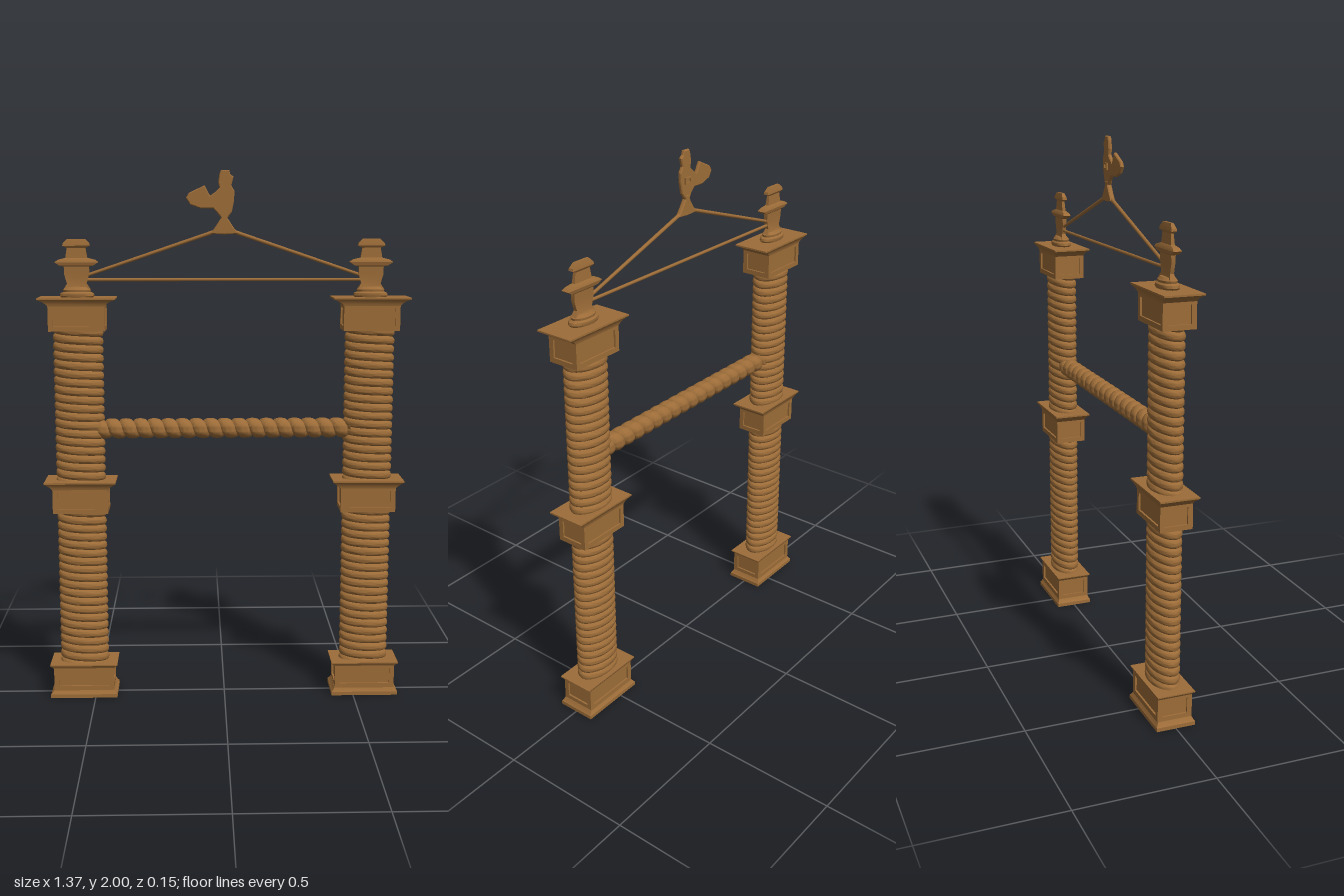
import * as THREE from 'three';
import { toCreasedNormals } from 'three/addons/utils/BufferGeometryUtils.js';

const wood = new THREE.MeshStandardMaterial({ color: 0x9c6c38 });
wood.name = 'warm brown wood';

function mesh(name, geometry, parent, x = 0, y = 0, z = 0) {
  const m = new THREE.Mesh(geometry, wood);
  m.name = name;
  m.position.set(x, y, z);
  parent.add(m);
  return m;
}

// Skin over nu steps around and nv steps along; point(i, k) gives [x, y, z]
function skin(point, nu, nv, crease) {
  const pos = [], idx = [];
  for (let k = 0; k <= nv; k++) for (let i = 0; i <= nu; i++) pos.push(...point(i, k));
  for (let k = 0; k < nv; k++) for (let i = 0; i < nu; i++) {
    const a = k * (nu + 1) + i, b = a + nu + 1;
    idx.push(a, b, b + 1, a, b + 1, a + 1);
  }
  const g = new THREE.BufferGeometry();
  g.setAttribute('position', new THREE.Float32BufferAttribute(pos, 3));
  g.setIndex(idx);
  return toCreasedNormals(g, crease);
}

// Rectangular moulding from rows of [y, half width, half depth], closed at both ends
function moulding(rows) {
  const last = rows[rows.length - 1];
  const all = [[rows[0][0], 0, 0], ...rows, [last[0], 0, 0]];
  const sx = [1, -1, -1, 1, 1], sz = [1, 1, -1, -1, 1];
  return skin((i, k) => [sx[i] * all[k][1], all[k][0], sz[i] * all[k][2]], 4, all.length - 1, 0.3);
}

// Coiled rope along y from 0 to length; hand sets the winding direction
function rope(length, rx, rz, pitch, depth, hand) {
  const nu = 32, per = 8, nv = (Math.ceil(length / pitch) + 1) * per;
  return skin((i, k) => {
    const t = (i / nu) * Math.PI * 2;
    const f = 2 * ((k % per) / per) - 1;
    const inset = depth * (1 - Math.sqrt(1 - f * f));
    const turn = hand > 0 ? i / nu : 1 - i / nu;
    const y = Math.min(length, Math.max(0, (k / per + turn - 1) * pitch));
    return [(rx - inset) * Math.cos(t), y, (rz - inset) * Math.sin(t)];
  }, nu, nv, 0.9);
}

// Rectangular frame around a sunken panel
function frame(w, h, border, depth) {
  const rect = (C, a, b) => {
    const s = new C();
    s.moveTo(-a, -b); s.lineTo(a, -b); s.lineTo(a, b); s.lineTo(-a, b); s.closePath();
    return s;
  };
  const shape = rect(THREE.Shape, w / 2, h / 2);
  shape.holes.push(rect(THREE.Path, w / 2 - border, h / 2 - border));
  return new THREE.ExtrudeGeometry(shape, { depth, bevelEnabled: false });
}

// Panelled block with frames on all four sides
function panelBlock(name, parent, y0, y1, hx, hz) {
  const g = new THREE.Group(), h = y1 - y0, d = 0.007;
  g.name = name;
  g.position.y = (y0 + y1) / 2;
  mesh('panelCore', new THREE.BoxGeometry(2 * (hx - d), h, 2 * (hz - d)), g);
  for (let s = 0; s < 4; s++) {
    const side = s % 2, a = s * Math.PI / 2, off = (side ? hx : hz) - d;
    const f = mesh('panelFrame', frame(2 * (side ? hz : hx), h, 0.018, d), g, Math.sin(a) * off, 0, Math.cos(a) * off);
    f.rotation.y = a;
  }
  parent.add(g);
}

function flat(points, depth) {
  const g = new THREE.ExtrudeGeometry(new THREE.Shape(points.map(p => new THREE.Vector2(...p))), {
    depth: depth * 0.5, bevelEnabled: true, bevelSegments: 1, bevelThickness: depth * 0.25, bevelSize: 0.003, bevelOffset: -0.003,
  });
  return g.translate(0, 0, -depth * 0.25);
}

function rod(name, parent, a, b, r0, r1) {
  const from = new THREE.Vector3(...a), dir = new THREE.Vector3(...b).sub(from);
  const m = mesh(name, new THREE.CylinderGeometry(r1, r0, dir.length(), 8), parent);
  m.position.copy(from).addScaledVector(dir, 0.5);
  m.quaternion.setFromUnitVectors(new THREE.Vector3(0, 1, 0), dir.normalize());
}

function column(name, x) {
  const g = new THREE.Group();
  g.name = name;
  g.position.x = x;

  // Base
  mesh('foot', moulding([[0, 0.128, 0.073], [0.014, 0.128, 0.073], [0.02, 0.122, 0.069], [0.03, 0.116, 0.064]]), g);
  panelBlock('baseBlock', g, 0.028, 0.122, 0.115, 0.065);
  mesh('baseLip', moulding([[0.115, 0.115, 0.064], [0.122, 0.12, 0.067], [0.128, 0.129, 0.071], [0.132, 0.129, 0.071]]), g);

  // Coiled shafts
  for (const [y0, y1] of [[0.13, 0.732], [0.848, 1.422]]) {
    mesh('coiledShaft', rope(y1 - y0, 0.094, 0.055, 0.032, 0.011, 1), g, 0, y0, 0);
  }

  // Middle and top blocks with flared cornices
  for (const [label, y, hx] of [['middle', 0.73, 0.134], ['top', 1.418, 0.143]]) {
    panelBlock(label + 'Block', g, y, y + 0.1, 0.104, 0.06);
    mesh(label + 'Cornice', moulding([
      [y + 0.092, 0.104, 0.06], [y + 0.1, 0.111, 0.062], [y + 0.108, 0.122, 0.066],
      [y + 0.116, hx, 0.072], [y + 0.122, hx, 0.072],
    ]), g);
  }

  // Finial
  const foot = [[0, 0], [0.058, 0], [0.064, 0.008], [0.062, 0.017], [0.05, 0.022], [0.052, 0.03], [0.038, 0.04], [0, 0.042]];
  const lathe = new THREE.LatheGeometry(foot.map(p => new THREE.Vector2(...p)), 32);
  mesh('finialFoot', toCreasedNormals(lathe.scale(1, 1, 0.56), 0.6), g, 0, 1.538, 0);
  mesh('finialVase', moulding([
    [1.57, 0.048, 0.012], [1.59, 0.036, 0.007], [1.625, 0.046, 0.007], [1.652, 0.046, 0.008],
    [1.656, 0.062, 0.012], [1.668, 0.08, 0.015], [1.677, 0.068, 0.012], [1.684, 0.04, 0.007],
    [1.72, 0.034, 0.005], [1.728, 0.05, 0.01], [1.737, 0.048, 0.009], [1.753, 0.032, 0.005],
  ]), g);
  return g;
}

export function createModel() {
  const model = new THREE.Group();
  model.name = 'gateway';
  model.add(column('leftColumn', 0.544), column('rightColumn', -0.544));

  // Twisted crossbar
  const bar = mesh('twistedCrossbar', rope(0.95, 0.038, 0.038, 0.053, 0.011, -1), model, -0.475, 1.047, 0);
  bar.rotation.z = -Math.PI / 2;

  // Tie rod and sloping braces
  rod('tieRod', model, [-0.51, 1.604, 0], [0.51, 1.604, 0], 0.006, 0.006);
  for (const s of [1, -1]) rod(s > 0 ? 'leftBrace' : 'rightBrace', model, [s * 0.51, 1.619, 0], [s * 0.02, 1.784, 0], 0.006, 0.007);

  // Apex bracket
  mesh('apexBracket', flat([[-0.05, 1.772], [0, 1.768], [0.05, 1.772], [0.03, 1.8], [0.012, 1.828], [0.018, 1.842],
    [-0.018, 1.842], [-0.012, 1.828], [-0.03, 1.8]], 0.018), model);

  // Bird silhouette with a fanned tail
  mesh('birdVane', flat([[-0.01, 1.825], [0.01, 1.825], [0.028, 1.85], [0.036, 1.89], [0.037, 1.925], [0.026, 1.945],
    [0.034, 1.975], [0.022, 1.985], [0.018, 2], [-0.012, 2], [-0.018, 1.985], [-0.022, 1.955], [-0.018, 1.935], [-0.032, 1.922],
    [-0.052, 1.908], [-0.072, 1.945], [-0.13, 1.918], [-0.14, 1.9], [-0.125, 1.876], [-0.085, 1.862], [-0.04, 1.862],
    [-0.024, 1.845]], 0.014), model);
  mesh('birdPivot', frame(0.034, 0.024, 0.006, 0.026), model, 0, 1.894, -0.013);
  return model;
}
